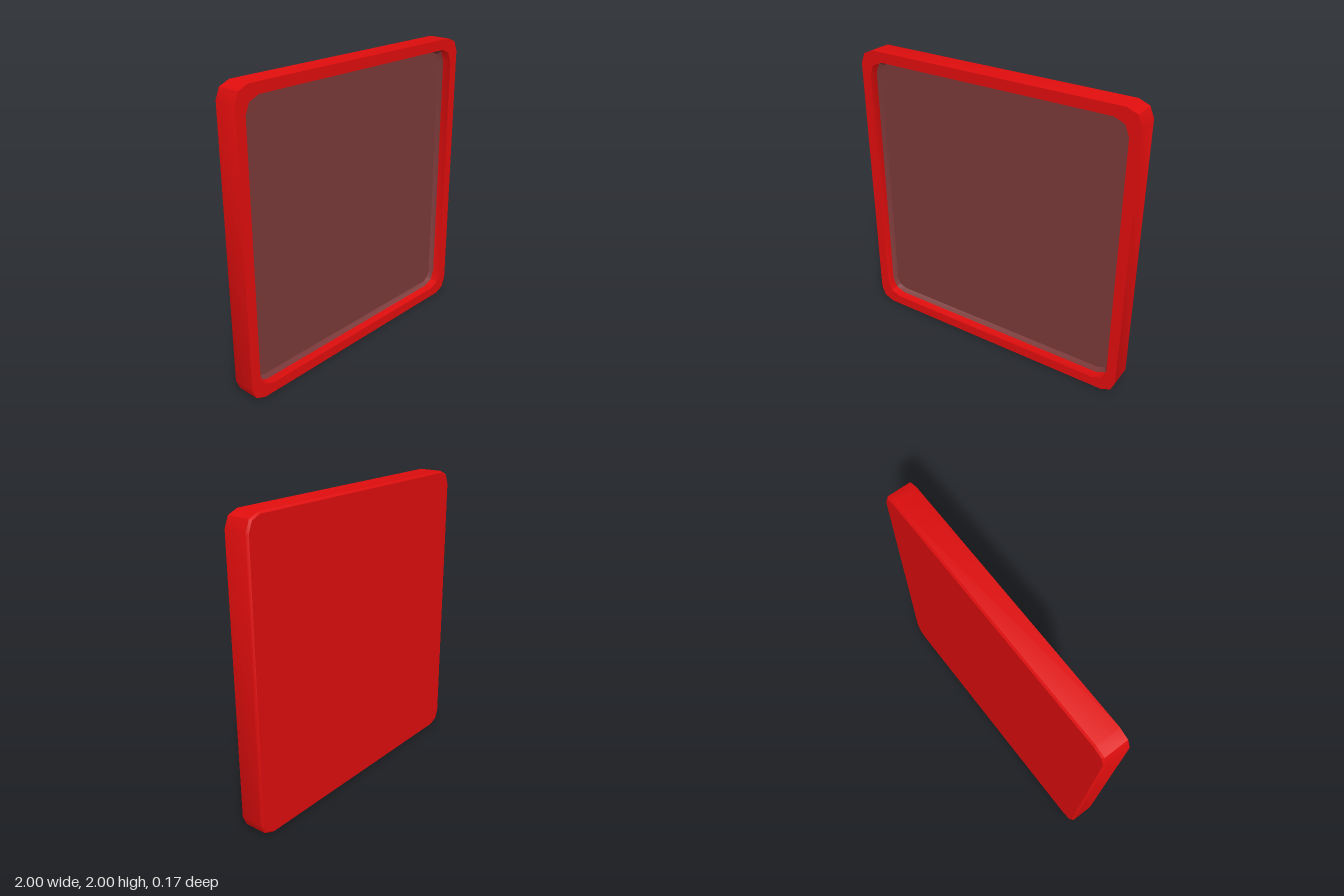
import * as THREE from 'three';
import { toCreasedNormals } from 'three/addons/utils/BufferGeometryUtils.js';

// Rounded square outline, counter-clockwise seen from the front, two facets per corner.
// half = 0 collapses the outline to the centre point, which closes a face.
function outline({ half, radius, z }) {
  const points = [];
  for (let corner = 0; corner < 4; corner++) {
    const start = corner * Math.PI / 2;
    const cx = Math.sign(Math.cos(start + Math.PI / 4)) * (half - radius);
    const cy = Math.sign(Math.sin(start + Math.PI / 4)) * (half - radius);
    for (let i = 0; i <= 2; i++) {
      const a = start + i * Math.PI / 4;
      points.push(new THREE.Vector3(cx + radius * Math.cos(a), 1 + cy + radius * Math.sin(a), z));
    }
  }
  return points;
}

// Skin a row of outlines, keeping the facet edges sharp.
function skin(name, color, sections) {
  const positions = [];
  const triangle = (...corners) => corners.forEach((p) => positions.push(p.x, p.y, p.z));
  for (let s = 0; s < sections.length - 1; s++) {
    const a = outline(sections[s]);
    const b = outline(sections[s + 1]);
    for (let i = 0; i < a.length; i++) {
      const j = (i + 1) % a.length;
      if (sections[s].half > 0) triangle(a[i], a[j], b[j]);
      if (sections[s + 1].half > 0) triangle(a[i], b[j], b[i]);
    }
  }
  const geometry = new THREE.BufferGeometry();
  geometry.setAttribute('position', new THREE.Float32BufferAttribute(positions, 3));
  const mesh = new THREE.Mesh(
    toCreasedNormals(geometry, THREE.MathUtils.degToRad(30)),
    new THREE.MeshStandardMaterial({ color })
  );
  mesh.name = name;
  return mesh;
}

export function createModel() {
  const model = new THREE.Group();
  model.name = 'framedPanel';

  // Tray: back face, small rear bevel, outer side, front rim and inner wall
  model.add(skin('frame', 0xe00d0d, [
    { half: 0, radius: 0, z: -0.085 },
    { half: 0.988, radius: 0.09, z: -0.085 },
    { half: 1, radius: 0.1, z: -0.073 },
    { half: 1, radius: 0.1, z: 0.085 },
    { half: 0.93, radius: 0.1, z: 0.085 },
    { half: 0.93, radius: 0.1, z: 0.025 },
  ]));

  // Recessed panel with a sloping border
  model.add(skin('recessedPanel', 0x7a3838, [
    { half: 0.93, radius: 0.1, z: 0.025 },
    { half: 0.905, radius: 0.075, z: 0 },
    { half: 0, radius: 0, z: 0 },
  ]));

  return model;
}
